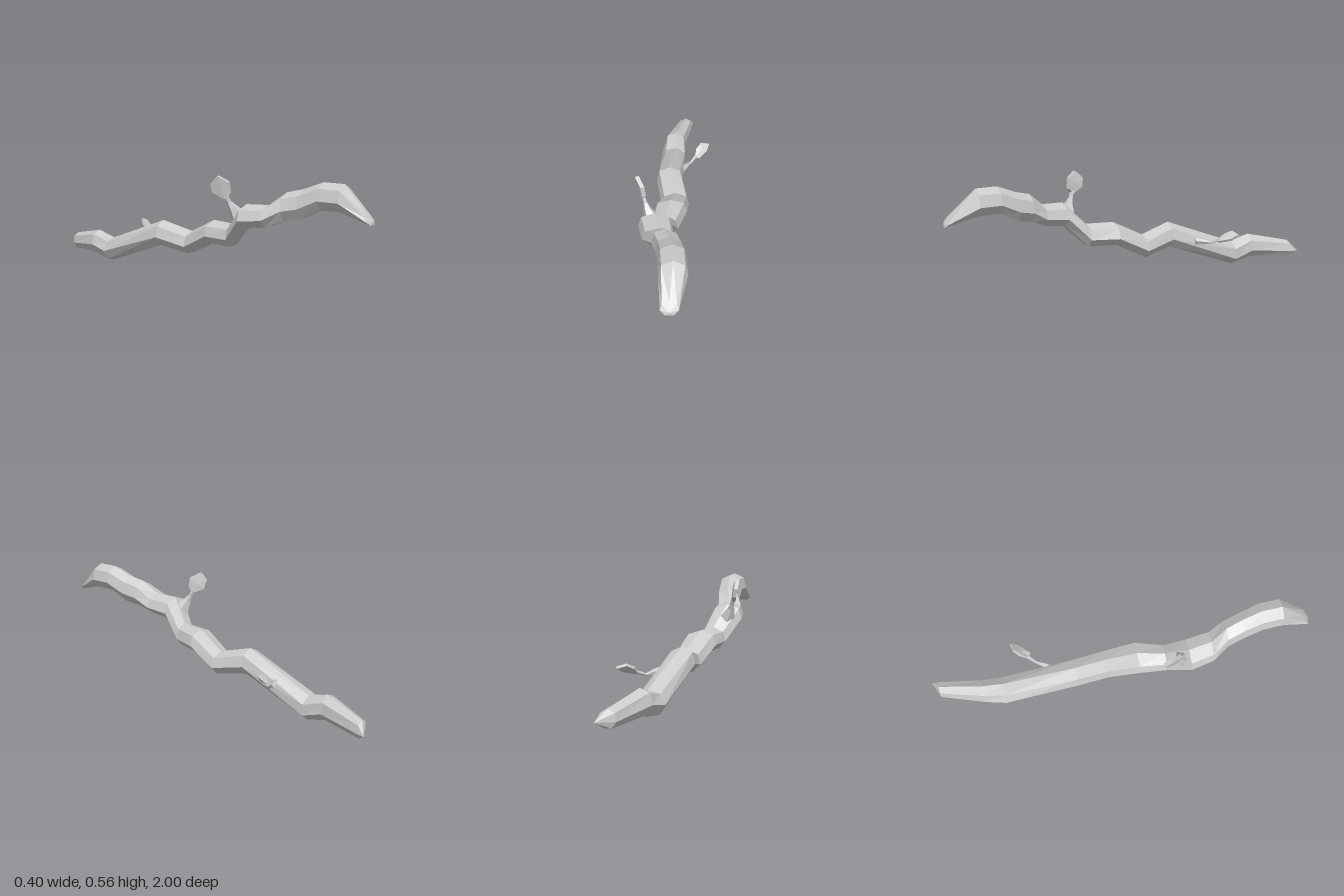
import * as THREE from 'three';

const material = new THREE.MeshStandardMaterial({ color: 0xcccccc, flatShading: true, side: THREE.DoubleSide });

// Skin a closed tube over cross-section rings, closing both ends with a fan to a tip point
function loft(name, rings, startTip, endTip) {
  const n = rings[0].length;
  const pos = [...rings.flat(), startTip, endTip].flat();
  const index = [];
  const first = rings.length * n, last = first + 1;
  for (let i = 0; i < n; i++) {
    const j = (i + 1) % n;
    for (let r = 0; r < rings.length - 1; r++) {
      const a = r * n + i, b = r * n + j;
      index.push(a, a + n, b, b, a + n, b + n);
    }
    const e = (rings.length - 1) * n;
    index.push(first, i, j, last, e + j, e + i);
  }
  const geo = new THREE.BufferGeometry();
  geo.setAttribute('position', new THREE.Float32BufferAttribute(pos, 3));
  geo.setIndex(index);
  const flat = geo.toNonIndexed();
  flat.computeVertexNormals();
  const mesh = new THREE.Mesh(flat, material);
  mesh.name = name;
  return mesh;
}

// Seven-sided section of the branch, sized by its bounds; tilt slants the section along z
function section([z, x0, x1, y0, y1, roll = 0, tilt = 0]) {
  const rx = (x1 - x0) / 1.95, ry = (y1 - y0) / 1.9;
  const cx = (x0 + x1) / 2, cy = y0 + 0.9 * ry;
  return Array.from({ length: 7 }, (_, k) => {
    const a = Math.PI / 2 + roll + k * Math.PI * 2 / 7;
    return [cx + rx * Math.cos(a), cy + ry * Math.sin(a), z + tilt * Math.sin(a)];
  });
}

// Thin five-sided stem following a few points [x, y, z, radius]
function stem(name, pts) {
  const p = pts.map(([x, y, z]) => new THREE.Vector3(x, y, z));
  const rings = p.map((c, i) => {
    const dir = p[Math.min(i + 1, p.length - 1)].clone().sub(p[Math.max(i - 1, 0)]).normalize();
    const u = new THREE.Vector3(0, 0, 1).cross(dir).normalize();
    const v = dir.clone().cross(u);
    return Array.from({ length: 5 }, (_, k) => {
      const a = -k * Math.PI * 2 / 5;
      return c.clone().addScaledVector(u, pts[i][3] * Math.cos(a))
        .addScaledVector(v, pts[i][3] * Math.sin(a)).toArray();
    });
  });
  return loft(name, rings, p[0].toArray(), p[p.length - 1].toArray());
}

// Faceted leaf: an outline with a raised ridge point on each face
function leaf(name, outline, thickness) {
  const pts = outline.map(c => new THREE.Vector3(...c));
  const mid = pts.reduce((s, c) => s.add(c), new THREE.Vector3()).divideScalar(pts.length);
  const normal = new THREE.Vector3();
  pts.forEach((c, i) => {
    const d = pts[(i + 1) % pts.length];
    normal.add(c.clone().sub(mid).cross(d.clone().sub(mid)));
  });
  normal.normalize();
  const shift = s => c => c.clone().addScaledVector(normal, s).toArray();
  const t = thickness / 2;
  return loft(name, [pts.map(shift(t)), pts.map(shift(-t))],
    shift(t * 1.2)(mid), shift(-t * 1.2)(mid));
}

export function createModel() {
  const group = new THREE.Group();
  group.name = 'branch';

  // Crooked main branch: z, left/right bounds, bottom/top bounds, roll, tilt
  const sections = [
    [0.98, -0.078, 0.005, 0.375, 0.425, 0, -0.018],
    [0.84, -0.085, 0.048, 0.42, 0.55],
    [0.73, -0.09, 0.045, 0.42, 0.55],
    [0.63, -0.10, 0.03, 0.37, 0.51],
    [0.55, -0.12, 0.012, 0.355, 0.49],
    [0.47, -0.165, -0.008, 0.32, 0.425],
    [0.35, -0.187, -0.02, 0.303, 0.42],
    [0.24, -0.125, 0.01, 0.19, 0.305],
    [0.10, -0.112, 0.058, 0.19, 0.305],
    [-0.06, -0.075, 0.072, 0.11, 0.225],
    [-0.23, -0.10, 0.04, 0.14, 0.27],
    [-0.62, -0.075, 0.066, 0.003, 0.125, -0.2],
    [-0.73, -0.055, 0.062, 0.03, 0.155, -0.1],
    [-0.96, 0.03, 0.11, 0.018, 0.105],
  ];
  group.add(loft('mainBranch', sections.map(section).map(r => r.reverse()).reverse().map(r => r.reverse()),
    [0.118, 0.048, -1], [-0.038, 0.39, 0.995]));

  // Upright twig with its leaf
  const upper = new THREE.Group();
  upper.name = 'upperTwig';
  upper.add(
    stem('upperStem', [[-0.115, 0.35, 0.32, 0.045], [-0.142, 0.405, 0.295, 0.02],
      [-0.15, 0.43, 0.28, 0.011], [-0.162, 0.465, 0.265, 0.012]]),
    leaf('upperLeaf', [[-0.162, 0.445, 0.268], [-0.155, 0.475, 0.293], [-0.163, 0.53, 0.29],
      [-0.19, 0.56, 0.24], [-0.192, 0.52, 0.197], [-0.182, 0.475, 0.205]], 0.02));
  group.add(upper);

  // Side twig with its leaf
  const side = new THREE.Group();
  side.name = 'sideTwig';
  side.add(
    stem('sideStem', [[0.045, 0.165, -0.36, 0.02], [0.075, 0.16, -0.41, 0.011],
      [0.09, 0.156, -0.43, 0.008], [0.12, 0.175, -0.465, 0.009]]),
    leaf('sideLeaf', [[0.113, 0.167, -0.46], [0.12, 0.2, -0.498], [0.148, 0.219, -0.53],
      [0.195, 0.205, -0.54], [0.18, 0.183, -0.5], [0.138, 0.167, -0.45]], 0.014));
  group.add(side);

  return group;
}
